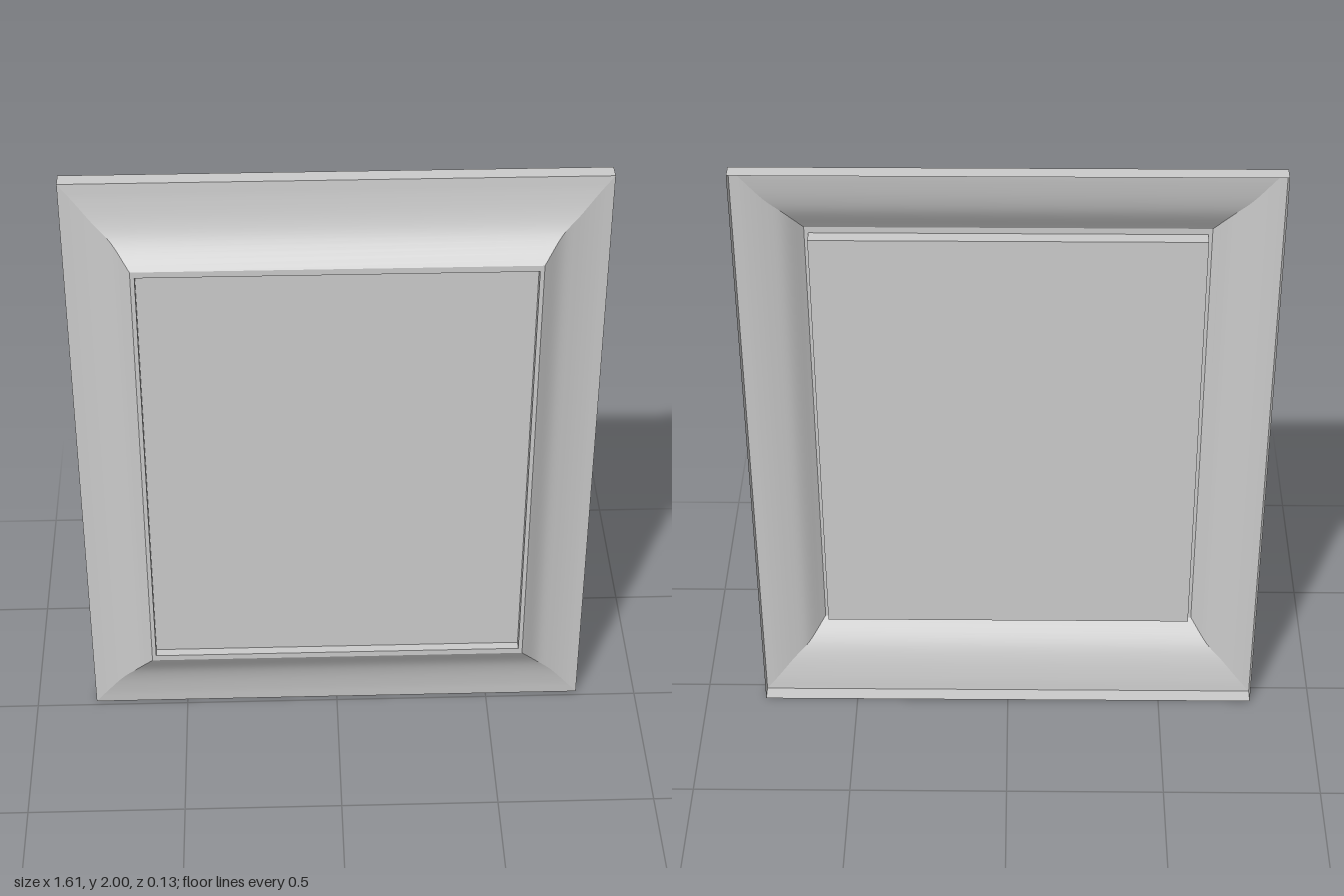
import * as THREE from 'three';

const material = new THREE.MeshStandardMaterial({ color: 0xcccccc, side: THREE.DoubleSide });
const corners = [[1, 1], [-1, 1], [-1, -1], [1, -1]];

// Mitred rectangular band through rings of [half width, half height, z];
// each side is smooth along its profile and sharp at the mitres.
function band(name, rings) {
  const group = new THREE.Group();
  group.name = name;
  corners.forEach((a, k) => {
    const b = corners[(k + 1) % 4];
    const positions = [], index = [];
    rings.forEach(([w, h, z], i) => {
      positions.push(a[0] * w, a[1] * h + 1, z, b[0] * w, b[1] * h + 1, z);
      if (i === 0) return;
      const p = 2 * (i - 1);
      index.push(p, p + 1, p + 3, p, p + 3, p + 2);
    });
    const geometry = new THREE.BufferGeometry();
    geometry.setAttribute('position', new THREE.Float32BufferAttribute(positions, 3));
    geometry.setIndex(index);
    geometry.computeVertexNormals();
    const mesh = new THREE.Mesh(geometry, material);
    mesh.name = name + 'Side';
    group.add(mesh);
  });
  return group;
}

export function createModel() {
  const model = new THREE.Group();
  model.name = 'pictureFrame';

  // Straight outer edge, open at the back
  model.add(band('outerRim', [[0.805, 1, -0.067], [0.805, 1, -0.017]]));

  // Concave moulding sweeping forward to the opening
  const cove = new THREE.CatmullRomCurve3([
    [0.805, 1, -0.017], [0.765, 0.95, -0.012], [0.71, 0.88, 0.001],
    [0.66, 0.827, 0.02], [0.605, 0.75, 0.066],
  ].map((p) => new THREE.Vector3(...p)));
  model.add(band('coveMoulding', cove.getPoints(20).map((p) => p.toArray())));

  // Narrow flat lip and the wall stepping back to the panel
  model.add(band('innerLip', [[0.605, 0.75, 0.066], [0.592, 0.73, 0.066]]));
  model.add(band('recessWall', [[0.592, 0.73, 0.066], [0.592, 0.73, 0.022]]));

  // Recessed picture panel
  const panel = new THREE.Mesh(new THREE.BoxGeometry(1.184, 1.46, 0.014), material);
  panel.name = 'picturePanel';
  panel.position.set(0, 1, 0.029);
  model.add(panel);

  return model;
}
